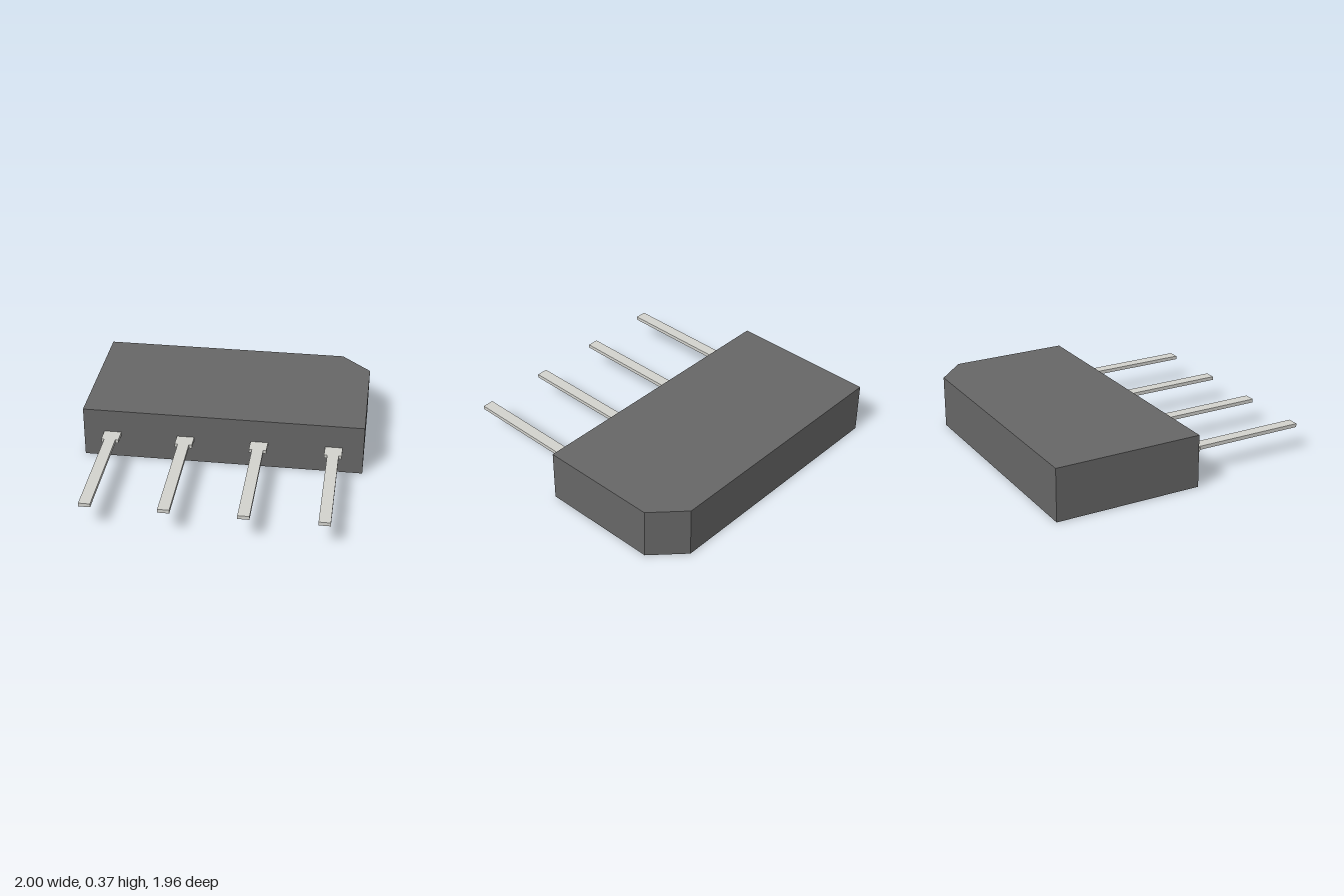
import * as THREE from 'three';

// Extrude an outline drawn in (x, z) upward from y0 to y1
function slab(points, y0, y1) {
  const shape = new THREE.Shape(points.map(([x, z]) => new THREE.Vector2(x, z)));
  const geometry = new THREE.ExtrudeGeometry(shape, { depth: y1 - y0, bevelEnabled: false });
  geometry.rotateX(Math.PI / 2); // outline y becomes z, depth points down
  geometry.translate(0, y1, 0);
  return geometry;
}

export function createModel() {
  const model = new THREE.Group();
  model.name = 'bridgeRectifier';

  const bodyMaterial = new THREE.MeshStandardMaterial({ color: 0x666666 });
  const pinMaterial = new THREE.MeshStandardMaterial({ color: 0xd2d2cd });

  const back = -0.98, face = 0.065, tip = 0.98;

  // Flat case with one chamfered corner at the back
  const body = new THREE.Mesh(
    slab([[-1, face], [-1, back], [0.787, back], [1, -0.775], [1, face]], 0, 0.37),
    bodyMaterial
  );
  body.name = 'body';
  model.add(body);

  // Flat pins: wide shoulder at the case, narrow blade to the tip
  const wide = 0.0615, narrow = 0.04, shoulder = 0.172;
  const pinGeometry = slab([
    [-wide, face], [wide, face], [wide, shoulder], [narrow, shoulder],
    [narrow, tip], [-narrow, tip], [-narrow, shoulder], [-wide, shoulder],
  ], 0.174, 0.2);
  for (let i = 0; i < 4; i++) {
    const pin = new THREE.Mesh(pinGeometry, pinMaterial);
    pin.name = `pin${i + 1}`;
    pin.position.x = (i - 1.5) * 0.527;
    model.add(pin);
  }

  return model;
}
